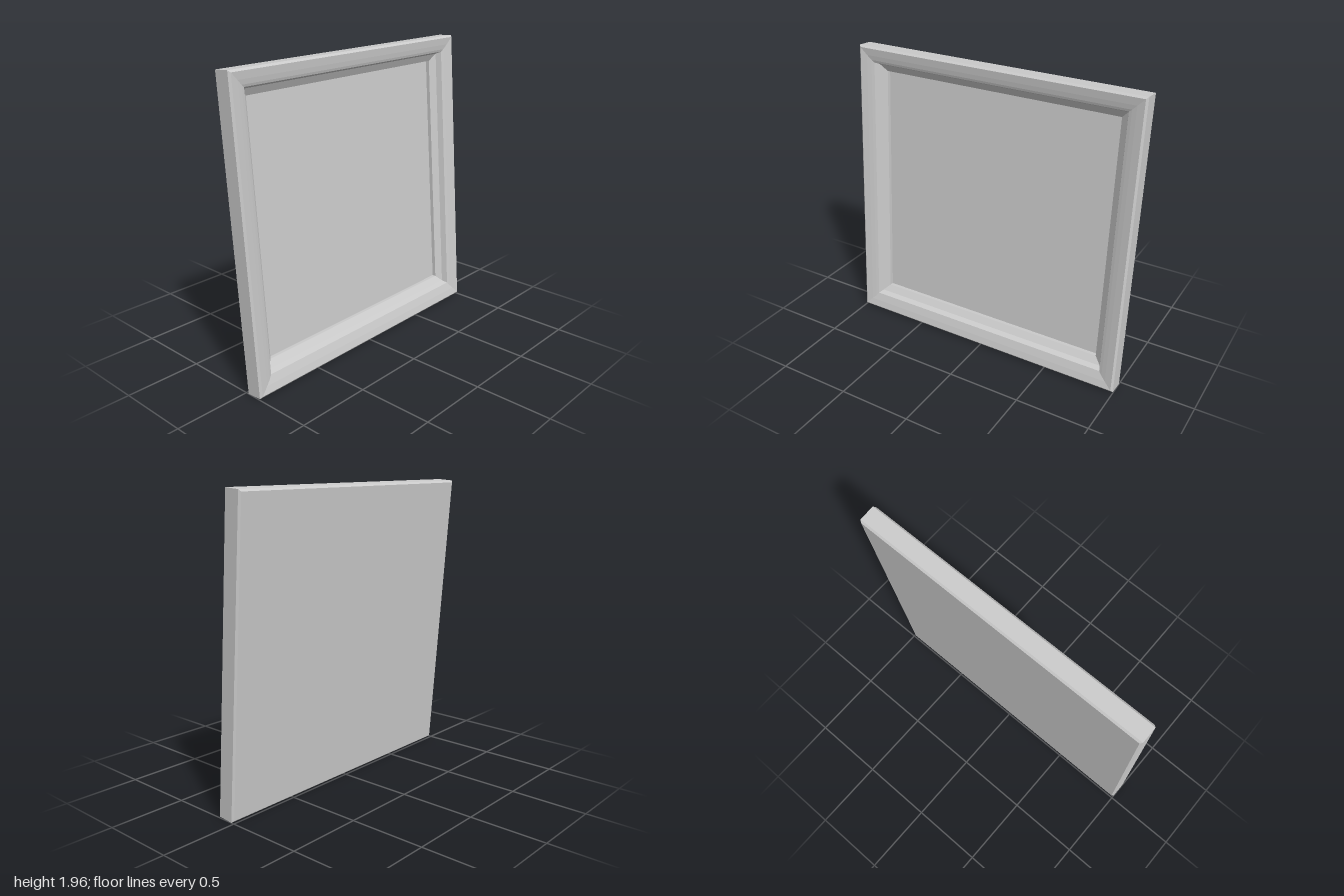
import * as THREE from 'three';

const HALF_W = 1, HALF_H = 0.977, TILT = 0.075;

// Moulding section from back edge, round the outside, to the inner wall:
// [inset from the outer edge, height above the back]
const SECTION = [
  [0.012, 0], [0, 0.012], [0, 0.116], [0.013, 0.128],
  [0.06, 0.12], [0.09, 0.113], [0.11, 0.107],
  [0.124, 0.07], [0.169, 0.043], [0.17, 0.018],
];

// Four corners of a rectangle, anticlockwise from the front
function ring([inset, z]) {
  const x = HALF_W - inset, y = HALF_H - inset;
  const lift = inset > 0.1 ? 0.005 : 0; // opening sits slightly high
  return [[-x, -y], [x, -y], [x, y], [-x, y]].map(([px, py]) => [px, py + lift, z]);
}

// Mitred frame: sweep the section round the rectangle with flat facets
function frameGeometry() {
  const pos = [];
  const rings = SECTION.map(ring);
  for (let i = 0; i < rings.length - 1; i++) {
    for (let k = 0; k < 4; k++) {
      const n = (k + 1) % 4;
      const a = rings[i][k], b = rings[i][n], c = rings[i + 1][n], d = rings[i + 1][k];
      pos.push(...a, ...b, ...c, ...a, ...c, ...d);
    }
  }
  const geo = new THREE.BufferGeometry();
  geo.setAttribute('position', new THREE.Float32BufferAttribute(pos, 3));
  geo.computeVertexNormals();
  return geo;
}

export function createModel() {
  const material = new THREE.MeshStandardMaterial({ color: 0xcccccc });
  const leaning = new THREE.Group();
  leaning.name = 'leaningFrame';

  const add = (name, geo) => {
    const mesh = new THREE.Mesh(geo, material);
    mesh.name = name;
    leaning.add(mesh);
    return mesh;
  };

  add('mouldedFrame', frameGeometry());

  // Picture panel at the bottom of the recess
  const [inset, depth] = SECTION[SECTION.length - 1];
  add('picturePanel', new THREE.PlaneGeometry(2 * (HALF_W - inset), 2 * (HALF_H - inset)))
    .position.set(0, 0.005, depth);

  // Flat backing board
  const back = SECTION[0][0];
  add('backingBoard', new THREE.PlaneGeometry(2 * (HALF_W - back), 2 * (HALF_H - back)))
    .rotation.y = Math.PI;

  // Lean back, stand on the ground and centre in depth
  leaning.rotation.x = -TILT;
  leaning.updateMatrixWorld(true);
  const box = new THREE.Box3().setFromObject(leaning, true);
  leaning.position.set(0, -box.min.y, -(box.min.z + box.max.z) / 2);

  const model = new THREE.Group();
  model.name = 'pictureFrame';
  model.add(leaning);
  return model;
}
